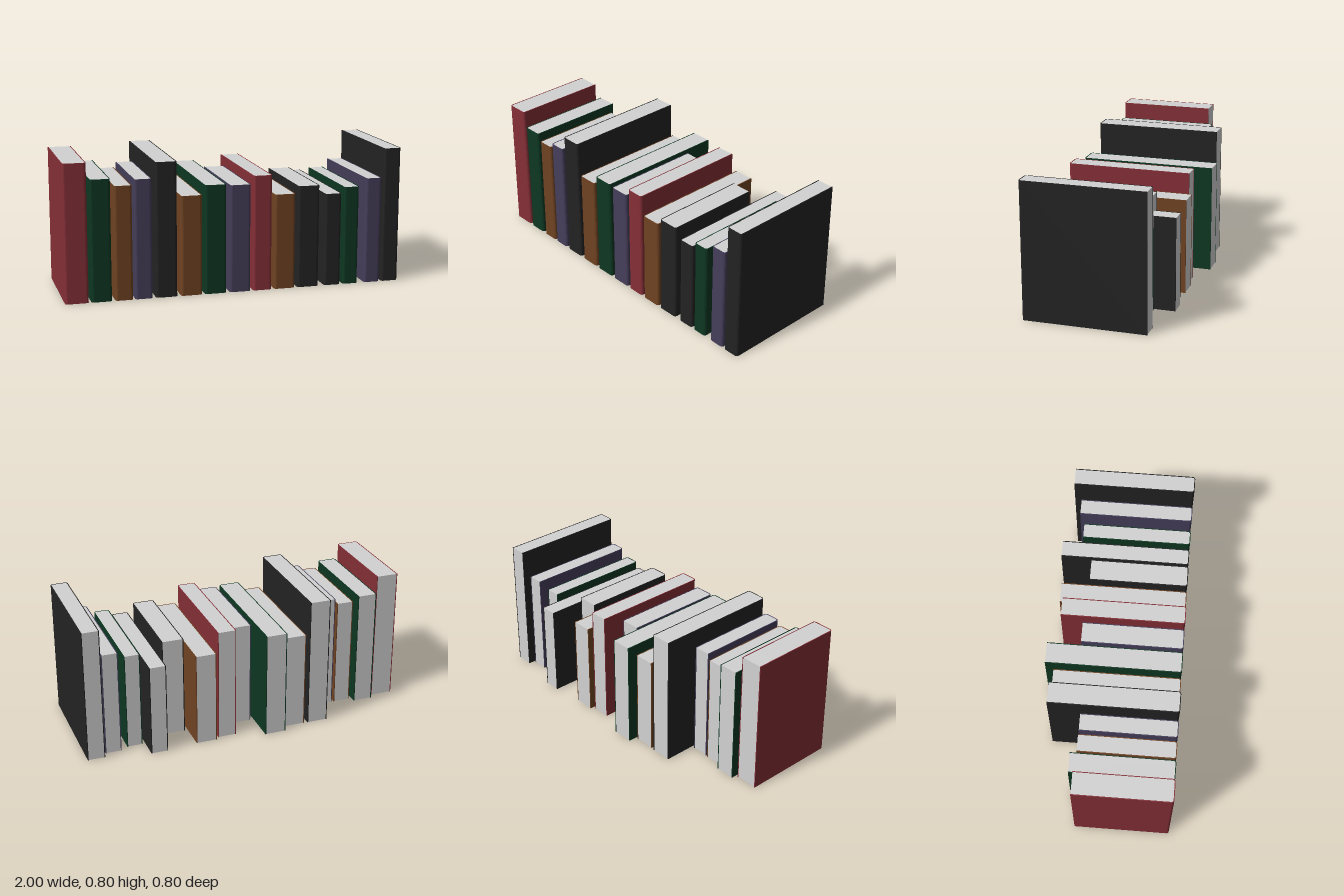
import * as THREE from 'three';

const material = (name, color) => new THREE.MeshStandardMaterial({ name, color });

const FRONT = 0.4;   // all spines line up here
const BOARD = 0.005; // cover thickness
const ROUND = 0.016; // spine corner radius

// Plan outline from back-left, round the spine, to back-right (shape y = -z)
function spinePath(path, w, back, inset) {
  const x = w / 2 - inset, y = -FRONT + inset, r = ROUND - inset;
  path.moveTo(-x, -back);
  path.lineTo(-x, y + r);
  path.absarc(-x + r, y + r, r, Math.PI, Math.PI * 1.5, false);
  path.absarc(x - r, y + r, r, Math.PI * 1.5, Math.PI * 2, false);
  path.lineTo(x, -back);
  return path;
}

function extrudeUp(shape, height) {
  const g = new THREE.ExtrudeGeometry(shape, { depth: height, bevelEnabled: false, curveSegments: 4 });
  return g.rotateX(-Math.PI / 2);
}

function book(x0, x1, height, back, coverMat, pageMat) {
  const w = x1 - x0, group = new THREE.Group();
  group.name = 'book';
  group.position.x = (x0 + x1) / 2;

  // U-shaped cover: outer outline, then the inner one in reverse
  const outer = spinePath(new THREE.Path(), w, back, 0).getPoints(4);
  const inner = spinePath(new THREE.Path(), w, back, BOARD).getPoints(4).reverse();
  const cover = new THREE.Mesh(extrudeUp(new THREE.Shape([...outer, ...inner]), height), coverMat);
  cover.name = 'cover';

  // Page block, nearly flush with the cover's edges
  const block = spinePath(new THREE.Shape(), w, back + 0.001, BOARD);
  const pages = new THREE.Mesh(extrudeUp(block, height - 0.002), pageMat);
  pages.name = 'pages';
  pages.position.y = 0.001;

  group.add(cover, pages);
  return group;
}

export function createModel() {
  const red = material('red cover', 0x852f37);
  const green = material('green cover', 0x0d3722);
  const brown = material('brown cover', 0x704322);
  const purple = material('purple cover', 0x453e5a);
  const black = material('black cover', 0x232323);
  const paper = material('paper', 0xd2d2d2);

  // left edge, right edge, height, back z, cover
  const row = [
    [-1.0, -0.865, 0.803, -0.172, red],
    [-0.85, -0.732, 0.706, -0.202, green],
    [-0.713, -0.61, 0.663, -0.168, brown],
    [-0.598, -0.497, 0.695, -0.165, purple],
    [-0.477, -0.352, 0.787, -0.355, black],
    [-0.33, -0.205, 0.585, -0.351, brown],
    [-0.189, -0.062, 0.64, -0.4, green],
    [-0.041, 0.083, 0.632, -0.203, purple],
    [0.1, 0.211, 0.68, -0.333, red],
    [0.228, 0.353, 0.563, -0.355, brown],
    [0.37, 0.5, 0.605, -0.187, black],
    [0.536, 0.636, 0.55, -0.375, black],
    [0.653, 0.745, 0.585, -0.252, green],
    [0.788, 0.884, 0.63, -0.28, purple],
    [0.897, 1.0, 0.803, -0.32, black],
  ];

  const model = new THREE.Group();
  model.name = 'row of books';
  for (const [x0, x1, h, back, cover] of row) model.add(book(x0, x1, h, back, cover, paper));
  return model;
}
